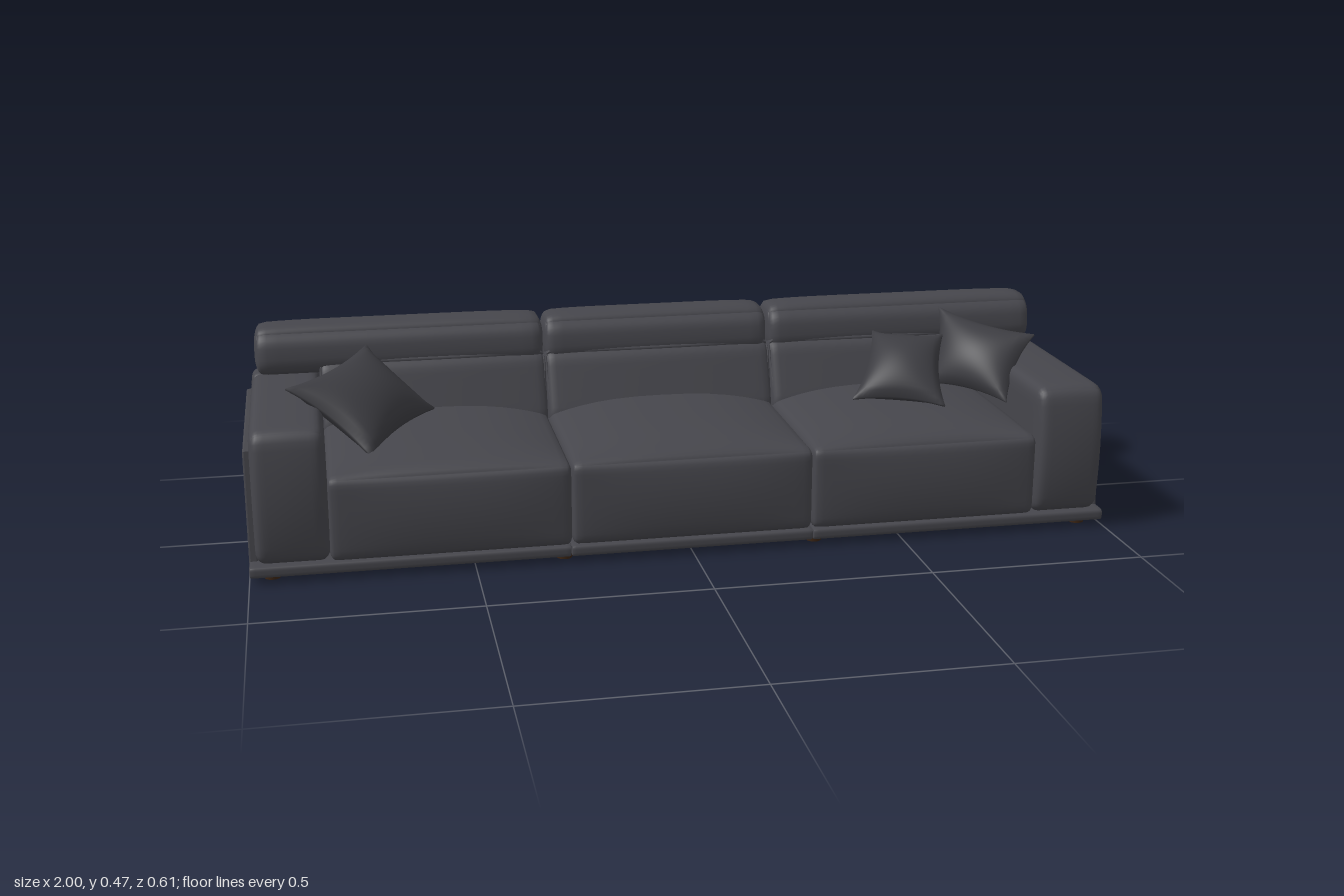
import * as THREE from 'three';
import { mergeVertices } from 'three/addons/utils/BufferGeometryUtils.js';

const fabric = new THREE.MeshStandardMaterial({ color: 0x46464c });
const pillowFabric = new THREE.MeshStandardMaterial({ color: 0x3c3c41 });
const wood = new THREE.MeshStandardMaterial({ color: 0x3a2414 });

function smooth(geo) {
  geo.deleteAttribute('uv');
  geo.deleteAttribute('normal');
  const merged = mergeVertices(geo, 1e-5);
  merged.computeVertexNormals();
  return merged;
}

// Upholstered block between two corners, with its own edge radius per axis.
// warp(p, c) may move a point p; c holds its position in the block, -1 to 1.
function softBox(name, min, max, radii, warp) {
  const n = 18;
  const geo = new THREE.BoxGeometry(2, 2, 2, n, n, n);
  const pos = geo.attributes.position;
  const p = new THREE.Vector3(), c = new THREE.Vector3(), e = new THREE.Vector3();
  for (let i = 0; i < pos.count; i++) {
    const inner = [0, 0, 0];
    c.fromBufferAttribute(pos, i);
    for (let k = 0; k < 3; k++) {
      const half = (max[k] - min[k]) / 2;
      const a = c.getComponent(k);
      const q = Math.sign(a) * (1 - Math.pow(1 - Math.abs(a), 2.2)); // denser near edges
      c.setComponent(k, q);
      const lim = half - radii[k];
      inner[k] = THREE.MathUtils.clamp(q * half, -lim, lim);
      e.setComponent(k, (q * half - inner[k]) / radii[k]);
    }
    const m = Math.max(Math.abs(e.x), Math.abs(e.y), Math.abs(e.z));
    if (m > 0) e.setLength(m);
    for (let k = 0; k < 3; k++) {
      p.setComponent(k, (min[k] + max[k]) / 2 + inner[k] + e.getComponent(k) * radii[k]);
    }
    if (warp) warp(p, c);
    pos.setXYZ(i, p.x, p.y, p.z);
  }
  const mesh = new THREE.Mesh(smooth(geo), fabric);
  mesh.name = name;
  return mesh;
}

// Throw pillow: a puffed sheet between four corners, listed around its edge
function pillow(name, corners, thickness) {
  const [a, b, c, d] = corners.map((v) => new THREE.Vector3(...v));
  const normal = b.clone().sub(d).cross(c.clone().sub(a)).normalize();
  const geo = new THREE.BoxGeometry(2, 2, 2, 20, 20, 1);
  const pos = geo.attributes.position;
  const p = new THREE.Vector3();
  for (let i = 0; i < pos.count; i++) {
    const u0 = pos.getX(i), v0 = pos.getY(i), side = pos.getZ(i);
    const u = u0 * (1 - 0.13 * (1 - v0 * v0));
    const v = v0 * (1 - 0.13 * (1 - u0 * u0));
    p.set(0, 0, 0)
      .addScaledVector(a, (1 - u) * (1 - v) / 4).addScaledVector(b, (1 + u) * (1 - v) / 4)
      .addScaledVector(c, (1 + u) * (1 + v) / 4).addScaledVector(d, (1 - u) * (1 + v) / 4);
    const puff = Math.pow((1 - u0 * u0) * (1 - v0 * v0), 0.6);
    p.addScaledVector(normal, -side * (0.003 + thickness * puff));
    pos.setXYZ(i, p.x, p.y, p.z);
  }
  const mat = pillowFabric.clone();
  mat.side = THREE.DoubleSide;
  const mesh = new THREE.Mesh(smooth(geo), mat);
  mesh.name = name;
  return mesh;
}

// Thin outer panel with a slanted front edge
function sidePanel(s) {
  const shape = new THREE.Shape();
  shape.moveTo(-0.286, 0.018);
  shape.lineTo(0.242, 0.018);
  shape.lineTo(0.219, 0.286);
  shape.lineTo(-0.286, 0.286);
  shape.closePath();
  const geo = new THREE.ExtrudeGeometry(shape, {
    depth: 0.012, bevelSize: 0.004, bevelThickness: 0.004, bevelSegments: 2,
  });
  geo.translate(0, 0, -0.006).rotateY(-Math.PI / 2);
  const mesh = new THREE.Mesh(geo, fabric);
  mesh.name = 'sidePanel';
  mesh.position.x = s * 0.989;
  return mesh;
}

export function createModel() {
  const sofa = new THREE.Group();
  sofa.name = 'sofa';

  // Three seat sections: seam positions between the arms, and full-width ends
  const seams = [-0.822, -0.28, 0.28, 0.822];
  const headEnds = [-0.972, -0.28, 0.28, 0.972];
  const baseEnds = [-0.999, -0.283, 0.283, 0.999];

  for (let i = 0; i < 3; i++) {
    const x0 = seams[i], x1 = seams[i + 1];

    sofa.add(softBox('base', [baseEnds[i], 0.013, -0.29], [baseEnds[i + 1], 0.041, 0.285],
      [0.004, 0.01, 0.01]));

    // Seat with crowned top and slightly bowed front
    sofa.add(softBox('seatCushion', [x0, 0.04, -0.2], [x1, 0.236, 0.288], [0.015, 0.022, 0.022],
      (p, c) => {
        const across = 1 - Math.pow(Math.abs(c.x), 2.5);
        if (c.y > 0) p.y += 0.036 * c.y * across * (1 - Math.pow(Math.max(c.z, 0), 4));
        if (c.z > 0) p.z += 0.012 * c.z * (1 - c.y * c.y) * across;
      }));

    sofa.add(softBox('backPanel', [x0, 0.04, -0.297], [x1, 0.42, -0.19], [0.01, 0.02, 0.02]));

    // Lower back cushion leaning towards the headrest
    sofa.add(softBox('lumbarCushion', [x0, 0.2, -0.25], [x1, 0.385, -0.1], [0.015, 0.03, 0.03],
      (p, c) => {
        if (c.z > 0) {
          p.z += c.z * (-0.055 * Math.max(0, (p.y - 0.24) / 0.14)
            + 0.008 * (1 - c.x * c.x));
        }
      }));

    // Headrest roll running over the arms
    sofa.add(softBox('headrest', [headEnds[i], 0.348, -0.3], [headEnds[i + 1], 0.463, -0.15],
      [0.02, 0.045, 0.055], (p, c) => {
        const across = 1 - Math.pow(Math.abs(c.x), 6);
        if (c.y > 0) p.y += 0.006 * c.y * across * (1 - c.z * c.z);
        if (c.z > 0) p.z -= 0.016 * c.z * (1 + c.y) / 2;
        if (c.z < 0) p.z += 0.003 * c.z * across * (1 - c.y * c.y);
      }));
  }

  for (const s of [-1, 1]) {
    const span = [s * 0.82, s * 0.984].sort((a, b) => a - b);

    // Arm with bowed front face
    sofa.add(softBox('arm', [span[0], 0.04, -0.222], [span[1], 0.348, 0.285],
      [0.022, 0.03, 0.03], (p, c) => {
        if (c.z > 0) p.z += 0.02 * c.z * (1 - c.y * c.y) * (1 - 0.3 * c.x * c.x);
        if (c.y > 0) p.y += 0.004 * c.y * (1 - c.x * c.x);
      }));
    sofa.add(softBox('armBack', [span[0], 0.042, -0.292], [span[1], 0.346, -0.215],
      [0.02, 0.025, 0.02], (p, c) => {
        if (c.z < 0) p.z += 0.007 * c.z * (1 - c.y * c.y) * (1 - c.x * c.x);
      }));
    sofa.add(sidePanel(s));

    // Feet along the front and back
    for (const x of [0.95, 0.295]) {
      for (const z of [0.24, -0.255]) {
        const foot = new THREE.Mesh(new THREE.CylinderGeometry(0.018, 0.018, 0.016, 20), wood);
        foot.name = 'foot';
        foot.position.set(s * x, 0.008, z);
        sofa.add(foot);
      }
    }
  }

  // Throw pillows
  sofa.add(pillow('rightPillow',
    [[-0.9, 0.39, 0.09], [-0.71, 0.425, -0.14], [-0.56, 0.285, -0.05], [-0.72, 0.25, 0.19]], 0.05));
  sofa.add(pillow('leftInnerPillow',
    [[0.54, 0.4, -0.13], [0.44, 0.28, 0.05], [0.65, 0.27, 0.12], [0.7, 0.4, -0.06]], 0.045));
  sofa.add(pillow('leftOuterPillow',
    [[0.72, 0.448, -0.155], [0.9, 0.415, 0.04], [0.8, 0.275, 0.13], [0.66, 0.285, -0.04]], 0.045));

  return sofa;
}
